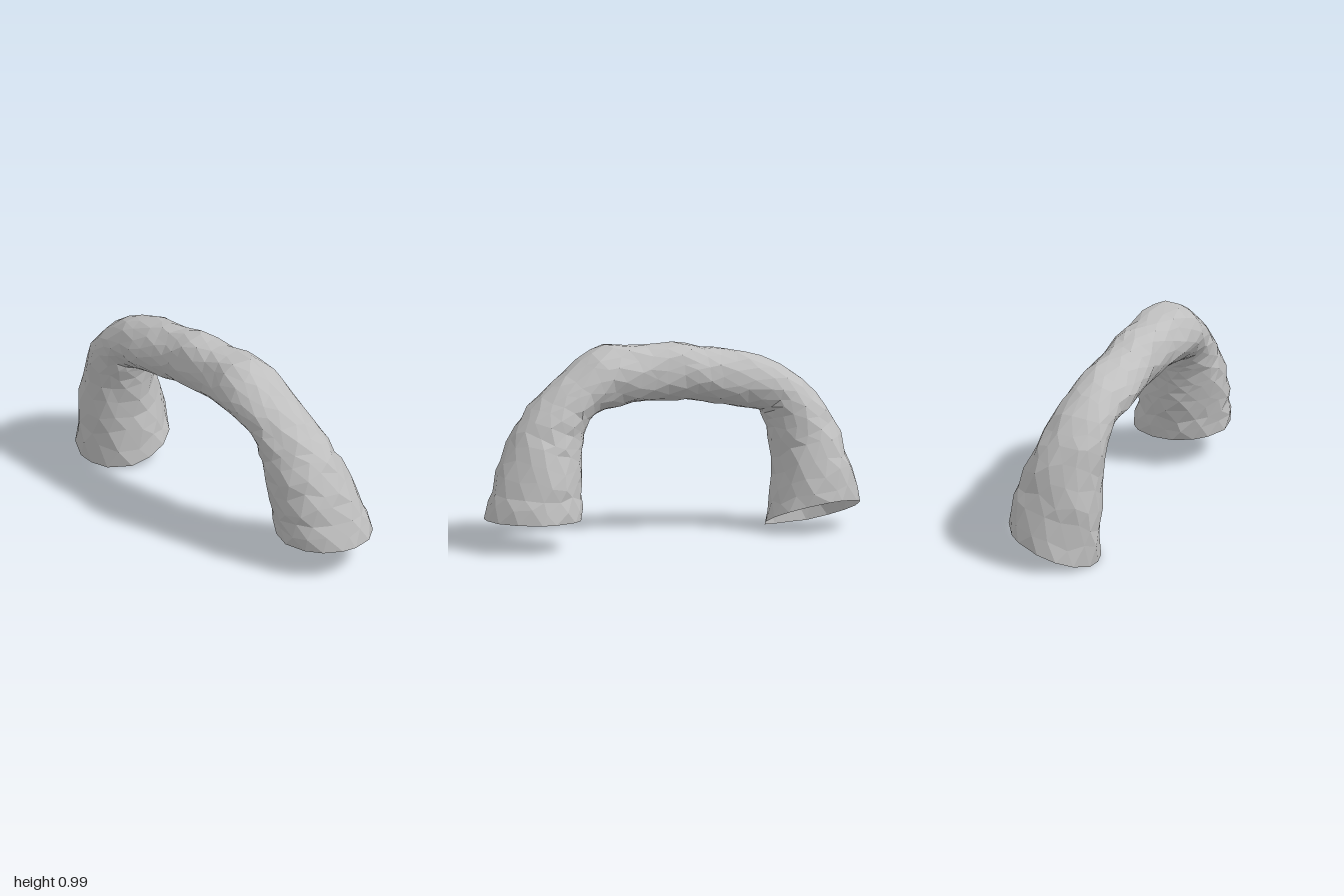
import * as THREE from 'three';

// Arch stations, front foot to back foot:
// [xMin, outerY, outerZ, xMax, innerY, innerZ]
const STATIONS = [
  [-0.245, 0.155, 1.0, 0.235, 0.15, 0.51],
  [-0.255, 0.3, 0.95, 0.2, 0.27, 0.5],
  [-0.262, 0.5, 0.87, 0.15, 0.4, 0.48],
  [-0.255, 0.64, 0.78, 0.1, 0.5, 0.465],
  [-0.25, 0.76, 0.66, 0.07, 0.58, 0.45],
  [-0.26, 0.88, 0.5, 0.06, 0.64, 0.4],
  [-0.272, 0.985, 0.33, 0.05, 0.67, 0.28],
  [-0.24, 0.97, 0.12, 0.035, 0.685, 0.1],
  [-0.23, 0.975, -0.08, 0.035, 0.685, -0.07],
  [-0.22, 0.935, -0.24, 0.05, 0.665, -0.22],
  [-0.22, 0.91, -0.42, 0.07, 0.63, -0.38],
  [-0.2, 0.82, -0.64, 0.095, 0.61, -0.51],
  [-0.2, 0.68, -0.8, 0.14, 0.55, -0.55],
  [-0.19, 0.5, -0.9, 0.19, 0.42, -0.57],
  [-0.185, 0.3, -0.955, 0.245, 0.24, -0.56],
  [-0.178, 0.1, -1.0, 0.275, 0.06, -0.52],
];
const RINGS = 34;
const SIDES = 15;

function seeded(seed) {
  return () => {
    seed = (seed * 16807) % 2147483647;
    return (seed / 2147483647) * 2 - 1;
  };
}

function archGeometry() {
  const rnd = seeded(4271);
  const outer = new THREE.CatmullRomCurve3(STATIONS.map((s) => new THREE.Vector3(s[0], s[1], s[2])));
  const inner = new THREE.CatmullRomCurve3(STATIONS.map((s) => new THREE.Vector3(s[3], s[4], s[5])));
  const positions = [];
  const index = [];

  for (let r = 0; r <= RINGS; r++) {
    const rim = r === 0 || r === RINGS;
    for (let i = 0; i < SIDES; i++) {
      // uneven rock facets: shift each corner along, around and outward
      const t = (r + (rim ? 0 : rnd() * 0.28)) / RINGS;
      const angle = ((i + (r % 2) * 0.5 + rnd() * 0.2) / SIDES) * Math.PI * 2;
      const swell = 1.01 + rnd() * (rim ? 0.01 : 0.045);
      const a = outer.getPoint(t);
      const b = inner.getPoint(t);
      const c = Math.cos(angle) * swell;
      const s = Math.sin(angle) * swell;
      // the back foot is cut on a slope that rises towards +x
      const slope = 0.085 * Math.max(0, 1 - (1 - t) * 5);
      positions.push(
        (a.x + b.x) / 2 + (s * (b.x - a.x)) / 2,
        Math.max(0, (a.y + b.y) / 2 + (c * (a.y - b.y)) / 2 + s * slope),
        (a.z + b.z) / 2 + (c * (a.z - b.z)) / 2
      );
    }
  }

  // staggered triangles between neighbouring rings
  for (let r = 0; r < RINGS; r++) {
    for (let i = 0; i < SIDES; i++) {
      const j = (i + 1) % SIDES;
      const p = r * SIDES;
      const q = p + SIDES;
      if (r % 2 === 0) index.push(p + i, p + j, q + i, q + i, p + j, q + j);
      else index.push(p + i, q + j, q + i, p + i, p + j, q + j);
    }
  }

  const geometry = new THREE.BufferGeometry();
  geometry.setAttribute('position', new THREE.Float32BufferAttribute(positions, 3));
  geometry.setIndex(index);
  geometry.computeVertexNormals();
  return geometry;
}

export function createModel() {
  const group = new THREE.Group();
  group.name = 'rockArch';
  // open-ended hollow shell, so both sides show
  const stone = new THREE.MeshStandardMaterial({ color: 0xbfbfbf, flatShading: true, side: THREE.DoubleSide });
  stone.name = 'grey stone';
  const arch = new THREE.Mesh(archGeometry(), stone);
  arch.name = 'archShell';
  group.add(arch);
  return group;
}
